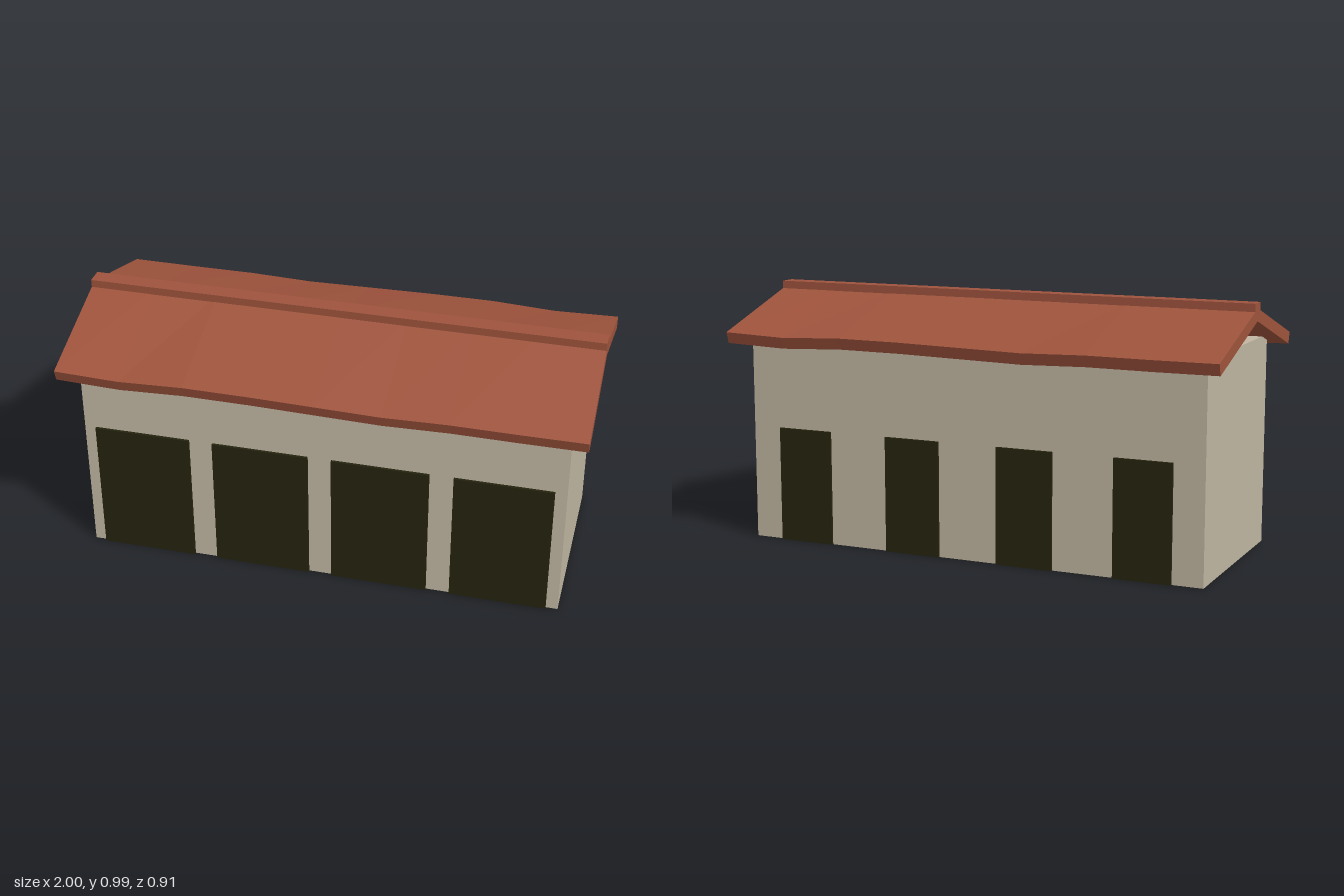
import * as THREE from 'three';

const HALF_X = 0.933, HALF_Z = 0.373, WALL_TOP = 0.825, THICK = 0.093;
const BAYS = [-0.7, -0.233, 0.233, 0.7];

export function createModel() {
  const model = new THREE.Group();
  model.name = 'arcadeBuilding';
  const wallMat = new THREE.MeshStandardMaterial({ name: 'plaster', color: 0xc0b6a1 });
  const roofMat = new THREE.MeshStandardMaterial({ name: 'terracotta', color: 0x9e533c });
  const doorMat = new THREE.MeshStandardMaterial({ name: 'darkOpening', color: 0x25240f });

  const add = (name, geometry, material, x = 0, y = 0, z = 0, parent = model) => {
    const mesh = new THREE.Mesh(geometry, material);
    mesh.name = name;
    mesh.position.set(x, y, z);
    parent.add(mesh);
    return mesh;
  };
  const box = (name, w, h, d, mat, x, y, z, parent) =>
    add(name, new THREE.BoxGeometry(w, h, d), mat, x, y, z, parent);

  // Long wall with arched bays open at the ground, each closed by a dark panel
  function arcade(name, width, height, turn) {
    const side = new THREE.Group();
    side.name = name;
    side.rotation.y = turn;
    const r = width / 2;
    const outline = new THREE.Shape();
    outline.moveTo(-HALF_X, 0);
    for (const x of BAYS) {
      outline.lineTo(x - r, 0);
      outline.lineTo(x - r, height - r);
      outline.absarc(x, height - r, r, Math.PI, 0, true);
      outline.lineTo(x + r, 0);
    }
    outline.lineTo(HALF_X, 0);
    outline.lineTo(HALF_X, WALL_TOP);
    outline.lineTo(-HALF_X, WALL_TOP);
    const wall = new THREE.ExtrudeGeometry(outline, { depth: THICK, bevelEnabled: false, curveSegments: 16 });
    add(name + 'Wall', wall, wallMat, 0, 0, HALF_Z - THICK, side);
    for (const x of BAYS)
      box(name + 'Panel', width, height, 0.01, doorMat, x, height / 2, HALF_Z + 0.005, side);
    model.add(side);
  }
  arcade('front', 0.375, 0.543, 0);
  arcade('back', 0.226, 0.45, Math.PI);

  // End walls and ceiling
  const innerZ = 2 * (HALF_Z - THICK);
  for (const s of [-1, 1])
    box('endWall', THICK, WALL_TOP, innerZ, wallMat, s * (HALF_X - THICK / 2), WALL_TOP / 2, 0);
  box('ceiling', 2 * (HALF_X - THICK), 0.05, innerZ, wallMat, 0, WALL_TOP - 0.025, 0);

  // Roof slopes, with eaves that sag unevenly along their length
  const sag = [0.002, -0.006, 0.005, 0.004, -0.001, -0.006, 0.001, 0, 0.001];
  let slope = new THREE.BoxGeometry(2, 1, 1, 8, 1, 1);
  const p = slope.attributes.position;
  for (let i = 0; i < p.count; i++) {
    const x = p.getX(i), u = p.getZ(i) + 0.5, top = p.getY(i) > 0;
    const wave = u * sag[Math.round((x + 1) * 4)];
    const y = top ? THREE.MathUtils.lerp(0.97, 0.826, u) : THREE.MathUtils.lerp(0.922, 0.782, u);
    p.setXYZ(i, x, y + wave, u * (top ? 0.457 : 0.443));
  }
  slope = slope.toNonIndexed();
  slope.computeVertexNormals();
  add('frontRoofSlope', slope, roofMat);
  add('backRoofSlope', slope, roofMat).rotation.y = Math.PI;

  // Ridge cap
  box('ridgeCap', 2, 0.034, 0.067, roofMat, 0, 0.973, 0);

  return model;
}
